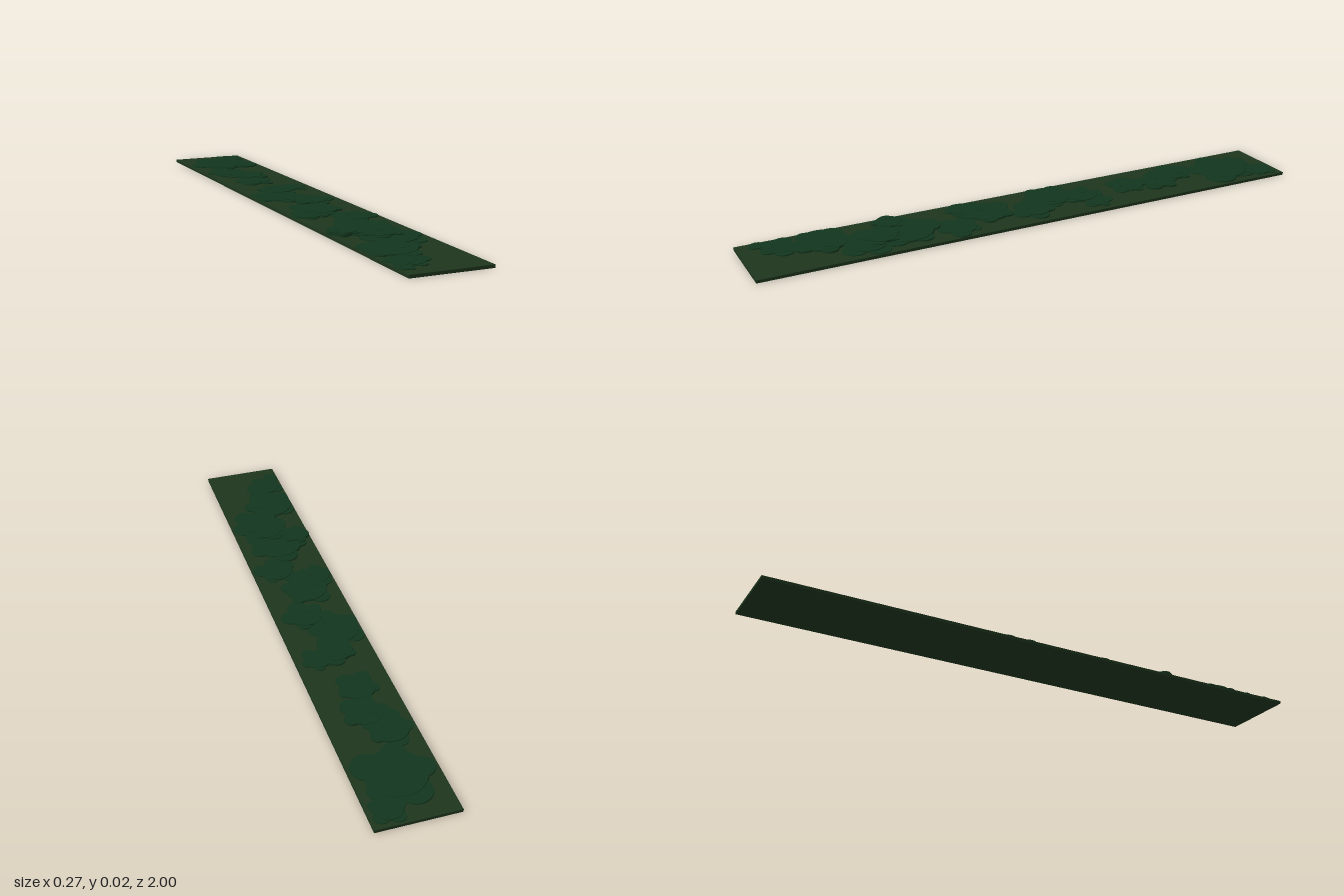
import * as THREE from 'three';

const HALF_W = 0.136;
const BOARD_H = 0.01;

export function createModel() {
  const model = new THREE.Group();
  const soil = new THREE.MeshStandardMaterial({ color: 0x1d351c });
  const moss = new THREE.MeshStandardMaterial({ color: 0x12351d });

  // Long flat ground strip
  const board = new THREE.Mesh(new THREE.BoxGeometry(HALF_W * 2, BOARD_H, 2), soil);
  board.name = 'groundStrip';
  board.position.y = BOARD_H / 2;
  model.add(board);

  // Round moss pad, kept inside the strip
  const addPad = (parent, x, z, r, top) => {
    const h = top - BOARD_H + 0.001;
    const pad = new THREE.Mesh(new THREE.CylinderGeometry(r * 0.97, r, h, 28), moss);
    pad.name = 'mossPad';
    const mx = HALF_W - r, mz = 1 - r;
    pad.position.set(
      THREE.MathUtils.clamp(x, -mx, mx),
      top - h / 2,
      THREE.MathUtils.clamp(z, -mz, mz)
    );
    parent.add(pad);
  };

  // Main pads: x, z, radius, top height
  const clumps = [
    [-0.05, 0.73, 0.085, 0.0165], [-0.07, 0.87, 0.055, 0.0145], [-0.11, 0.93, 0.025, 0.0135],
    [0.03, 0.61, 0.075, 0.0155], [0.0, 0.46, 0.095, 0.0165], [-0.085, 0.49, 0.045, 0.021],
    [0.01, 0.55, 0.055, 0.0205], [-0.08, 0.22, 0.05, 0.0155], [-0.02, 0.15, 0.075, 0.0165],
    [0.05, 0.29, 0.06, 0.0145], [-0.05, -0.1, 0.08, 0.015], [0.03, 0.0, 0.06, 0.0165],
    [-0.01, -0.21, 0.06, 0.0165], [0.06, -0.24, 0.045, 0.0145], [-0.02, -0.41, 0.06, 0.0155],
    [0.0, -0.53, 0.06, 0.0165], [-0.05, -0.62, 0.065, 0.0155], [0.0, -0.81, 0.1, 0.016],
    [0.07, -0.93, 0.05, 0.0145]
  ];
  clumps.forEach(([x, z, r, top], i) => {
    const clump = new THREE.Group();
    clump.name = 'mossClump';
    addPad(clump, x, z, r, top);
    // Smaller pads ringing the main one, each a little lower
    for (let k = 0; k < 5; k++) {
      const a = i * 2.4 + k * 1.257;
      const s = r * (0.36 + 0.07 * ((i + k * 2) % 4));
      addPad(clump, x + Math.cos(a) * r * 0.85, z + Math.sin(a) * r * 0.85, s,
        top - 0.0008 - 0.0006 * ((i + k) % 4));
    }
    // Small raised tuft
    addPad(clump, x + Math.cos(i * 1.9) * r * 0.5, z + Math.sin(i * 1.9) * r * 0.5,
      r * 0.25, top + 0.0008);
    model.add(clump);
  });

  return model;
}
